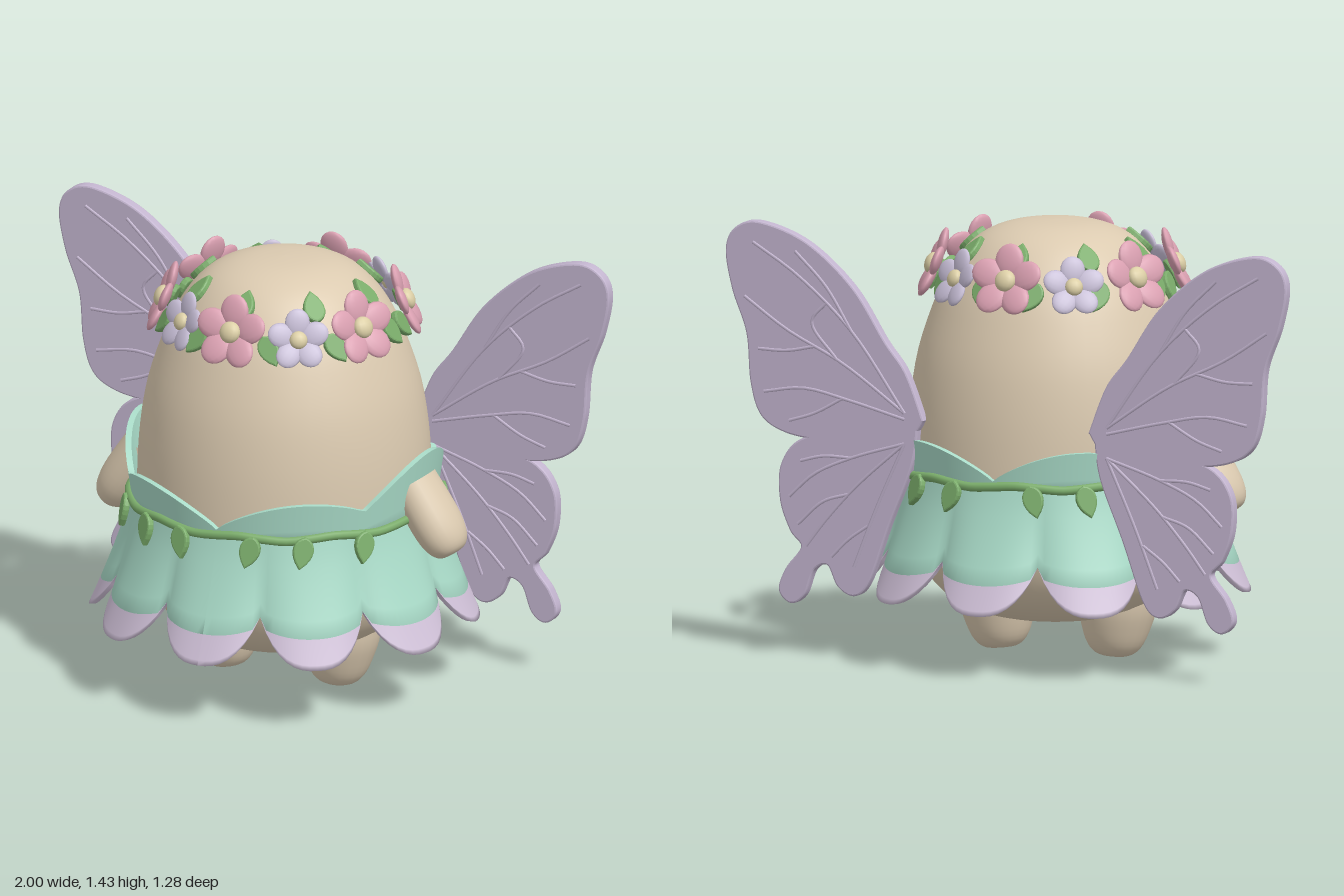
import * as THREE from 'three';

const mat = (name, color, side = THREE.FrontSide) => {
  const m = new THREE.MeshStandardMaterial({ color, side });
  m.name = name;
  return m;
};
const V2 = (p) => new THREE.Vector2(p[0], p[1]);

// Smooth lathe from a few profile points [radius, y], bottom to top
function lathe(points, samples, segments) {
  const pts = new THREE.SplineCurve(points.map(V2)).getPoints(samples);
  pts.forEach((p) => { p.x = Math.max(0, p.x); });
  return new THREE.LatheGeometry(pts, segments);
}

// Closed ring of cross-sections; fn(angle, row) returns [radius, y]
function ring(columns, rows, fn) {
  const pos = [], index = [];
  for (let i = 0; i <= columns; i++) {
    const a = (i / columns) * Math.PI * 2;
    for (let j = 0; j <= rows; j++) {
      const [r, y] = fn(a, j);
      pos.push(Math.sin(a) * r, y, Math.cos(a) * r);
      if (i < columns && j < rows) {
        const p = i * (rows + 1) + j, q = p + rows + 1;
        index.push(p, p + 1, q, q, p + 1, q + 1);
      }
    }
  }
  const g = new THREE.BufferGeometry();
  g.setAttribute('position', new THREE.Float32BufferAttribute(pos, 3));
  g.setIndex(index);
  g.computeVertexNormals();
  return g;
}

export function createModel() {
  const model = new THREE.Group();
  const skin = mat('beige body', 0xdbcab0);
  const mint = mat('mint cloth', 0xaadcc9, THREE.DoubleSide);
  const tip = mat('lavender petal tip', 0xd2c3da, THREE.DoubleSide);
  const wingMat = mat('lilac wing', 0xc3b5cf);
  const pink = mat('pink blossom', 0xdba1b2);
  const lilac = mat('pale lilac blossom', 0xc9c0d8);
  const green = mat('leaf green', 0x7bad6b);
  const cream = mat('cream flower centre', 0xdccfa6);

  const add = (name, geo, material, parent = model) => {
    const m = new THREE.Mesh(geo, material);
    m.name = name;
    parent.add(m);
    return m;
  };
  // Put an object on the ring around y, facing outwards and tilted up
  const place = (obj, deg, r, y, tilt = 0, roll = 0) => {
    const holder = new THREE.Group();
    holder.name = obj.name + 'Holder';
    holder.rotation.y = THREE.MathUtils.degToRad(deg);
    obj.position.set(0, y, r);
    obj.rotation.set(-tilt, 0, roll);
    holder.add(obj);
    model.add(holder);
  };

  // Egg-shaped body
  add('body', lathe([[0, 0.112], [0.14, 0.12], [0.27, 0.15], [0.37, 0.21], [0.43, 0.29],
    [0.465, 0.4], [0.48, 0.55], [0.48, 0.7], [0.47, 0.85], [0.445, 1.0], [0.4, 1.14],
    [0.36, 1.23], [0.31, 1.31], [0.25, 1.37], [0.18, 1.405], [0.1, 1.422], [0, 1.427]], 48, 48), skin);

  // Stubby legs and arms
  const legGeo = lathe([[0, 0], [0.055, 0.003], [0.09, 0.035], [0.115, 0.1], [0.132, 0.18], [0.13, 0.3]], 16, 24);
  const armGeo = lathe([[0, 0], [0.055, 0.008], [0.088, 0.05], [0.1, 0.13], [0.095, 0.27]], 16, 24);
  for (const s of [1, -1]) {
    const side = s > 0 ? 'left' : 'right';
    const leg = add(side + 'Leg', legGeo, skin);
    leg.position.set(s * 0.2, 0, 0.02);
    leg.rotation.z = -s * 0.08;
    const arm = add(side + 'Arm', armGeo, skin);
    arm.scale.x = 0.8;
    arm.position.set(s * 0.625, 0.5, 0.02);
    arm.rotation.z = s * 0.58;
  }

  // Skirt of ten petals, mint above and lavender at the tips
  const PETALS = 10, ROWS = 6;
  const local = (a) => {
    const t = (a / (Math.PI * 2)) * PETALS;
    return Math.abs(t - Math.round(t)) * 2;
  };
  const skirtRadius = (y, a) => {
    const t = (0.63 - y) / 0.42;
    return 0.495 + 0.145 * Math.pow(Math.max(t, 0), 1.25) - 0.045 * t * Math.pow(a, 3);
  };
  const hem = (a) => 0.21 + 0.155 * Math.pow(a, 2.6);
  const split = (a) => Math.max(hem(a), 0.305 + 0.03 * a * a);
  const skirtPart = (top, bottom) => ring(160, ROWS * 2 + 1, (angle, j) => {
    const a = local(angle);
    const inner = j > ROWS;
    const v = (inner ? ROWS * 2 + 1 - j : j) / ROWS;
    const y = top(a) + (bottom(a) - top(a)) * v;
    return [skirtRadius(y, a) - (inner ? 0.018 : 0), y];
  });
  add('skirt', skirtPart(() => 0.63, split), mint);
  add('skirtTips', skirtPart(split, hem), tip);

  // Wavy collar: notch at front and back, low lobe, dip, tall side lobe
  const collarTop = (angle) => {
    let d = Math.abs(THREE.MathUtils.radToDeg(Math.atan2(Math.sin(angle), Math.cos(angle))));
    if (d > 90) d = 180 - d;
    if (d < 57) return 0.635 + 0.055 * (d / 57) + 0.07 * Math.pow(Math.sin((d / 57) * Math.PI), 0.8);
    return 0.69 + 0.14 * Math.sin(((d - 57) / 33) * Math.PI / 2);
  };
  add('collar', ring(144, 7, (angle, j) => {
    const inner = j > 3;
    const v = (inner ? j - 4 : 3 - j) / 3;
    // outer face is walked downwards, then the inner face back up
    const y = inner ? 0.6 + (collarTop(angle) - 0.6) * v : 0.6 + (collarTop(angle) - 0.6) * v;
    return [0.497 + 0.14 * (y - 0.6) - (inner ? 0.02 : 0), y];
  }), mint);
  add('collarRim', ring(144, 1, (angle, j) => {
    const y = collarTop(angle);
    return [0.497 + 0.14 * (y - 0.6) - (j ? 0 : 0.02), y];
  }), mint);

  // Vine belt with hanging leaves
  const vine = [];
  for (let i = 0; i < 40; i++) {
    const a = (i / 40) * Math.PI * 2;
    vine.push(new THREE.Vector3(Math.sin(a) * 0.505, 0.618 + 0.006 * Math.sin(a * 10), Math.cos(a) * 0.505));
  }
  add('vineBelt', new THREE.TubeGeometry(new THREE.CatmullRomCurve3(vine, true), 120, 0.015, 8, true), green);

  const leafShape = new THREE.Shape();
  leafShape.moveTo(0, 0);
  leafShape.bezierCurveTo(0.035, 0.01, 0.045, 0.055, 0, 0.1);
  leafShape.bezierCurveTo(-0.045, 0.055, -0.035, 0.01, 0, 0);
  const leafGeo = new THREE.ExtrudeGeometry(leafShape,
    { depth: 0.012, bevelThickness: 0.006, bevelSize: 0.006, bevelSegments: 2, curveSegments: 8 });
  const leaf = (name, scale) => {
    const m = new THREE.Mesh(leafGeo, green);
    m.name = name;
    m.scale.setScalar(scale);
    return m;
  };
  for (const d of [15, 34, 57, 123, 146, 165]) {
    for (const s of [1, -1]) place(leaf('beltLeaf', 0.95), s * d, 0.512, 0.622, 0.2, Math.PI - s * 0.25);
  }

  // Flower crown
  const petalGeo = new THREE.SphereGeometry(1, 14, 10);
  const flower = (material, size) => {
    const g = new THREE.Group();
    g.name = 'crownFlower';
    for (let i = 0; i < 5; i++) {
      const arm = new THREE.Group();
      arm.name = 'petalHolder';
      arm.rotation.z = (i / 5) * Math.PI * 2;
      const p = add('flowerPetal', petalGeo, material, arm);
      p.scale.set(0.05, 0.056, 0.017);
      p.position.set(0, 0.07, 0.004);
      p.rotation.x = 0.15;
      g.add(arm);
    }
    const c = add('flowerCentre', petalGeo, cream, g);
    c.scale.set(0.036, 0.036, 0.024);
    c.position.z = 0.012;
    g.scale.setScalar(size);
    return g;
  };
  for (const d of [0, 66, 114, 180, 246, 294]) place(flower(pink, 1), d, 0.39, 1.278, 0.4);
  for (const d of [33, 147, 213, 327]) place(flower(lilac, 0.82), d, 0.383, 1.262, 0.42);
  for (let d = 0; d < 360; d += 45) place(leaf('upperCrownLeaf', 1), d, 0.325, 1.3, 0.8);
  for (const d of [16, 48, 84, 96, 132, 164]) {
    for (const s of [1, -1]) place(leaf('lowerCrownLeaf', 0.95), s * d, 0.375, 1.265, 0.42, Math.PI + s * 0.5);
  }

  // Butterfly wings: flat plates with raised veins on both faces
  const upper = [[0.3, 0.8], [0.36, 0.95], [0.435, 1.05], [0.55, 1.22], [0.71, 1.355], [0.875, 1.412],
    [0.96, 1.39], [0.993, 1.32], [0.97, 1.19], [0.92, 1.05], [0.905, 0.89], [0.87, 0.785],
    [0.79, 0.735], [0.66, 0.715], [0.5, 0.71], [0.36, 0.73]];
  const lower = [[0.32, 0.78], [0.55, 0.74], [0.72, 0.71], [0.795, 0.626], [0.8, 0.508], [0.765, 0.41],
    [0.725, 0.355], [0.78, 0.278], [0.804, 0.21], [0.767, 0.172], [0.722, 0.2], [0.687, 0.285],
    [0.634, 0.305], [0.595, 0.235], [0.54, 0.21], [0.49, 0.26], [0.42, 0.45], [0.34, 0.65]];
  const veins = [
    [[0.36, 0.82], [0.55, 1.08], [0.74, 1.25], [0.9, 1.35]],
    [[0.55, 1.08], [0.64, 1.22], [0.75, 1.33]],
    [[0.64, 1.165], [0.69, 1.1], [0.6, 0.98]],
    [[0.36, 0.82], [0.58, 0.97], [0.78, 1.07], [0.93, 1.17]],
    [[0.68, 1.02], [0.78, 1.0], [0.88, 1.0]],
    [[0.36, 0.8], [0.56, 0.85], [0.72, 0.88], [0.86, 0.86]],
    [[0.58, 0.855], [0.68, 0.8], [0.77, 0.77]],
    [[0.36, 0.72], [0.55, 0.66], [0.68, 0.6], [0.77, 0.52]],
    [[0.55, 0.66], [0.65, 0.66], [0.73, 0.64]],
    [[0.36, 0.72], [0.53, 0.57], [0.64, 0.45], [0.71, 0.36]],
    [[0.56, 0.54], [0.65, 0.51], [0.74, 0.43]],
    [[0.36, 0.72], [0.46, 0.5], [0.54, 0.3]],
    [[0.49, 0.44], [0.56, 0.39], [0.62, 0.33]]];
  for (const s of [1, -1]) {
    const wing = new THREE.Group();
    wing.name = s > 0 ? 'leftWing' : 'rightWing';
    wing.position.z = -0.378;
    model.add(wing);
    [['upperWing', upper], ['lowerWing', lower]].forEach(([name, outline]) => {
      const pts = outline.map(([x, y]) => V2([s * x, y]));
      const shape = new THREE.Shape();
      shape.moveTo(pts[0].x, pts[0].y);
      shape.splineThru([...pts.slice(1), pts[0].clone()]);
      const geo = new THREE.ExtrudeGeometry(shape,
        { depth: 0.026, bevelThickness: 0.007, bevelSize: 0.006, bevelSegments: 2, curveSegments: 60 });
      geo.translate(0, 0, -0.013);
      add(name, geo, wingMat, wing);
    });
    for (const face of [1, -1]) {
      for (const v of veins) {
        const path = new THREE.CatmullRomCurve3(v.map(([x, y]) => new THREE.Vector3(s * x, y, face * 0.019)));
        add('wingVein', new THREE.TubeGeometry(path, 14, 0.006, 6), wingMat, wing);
      }
    }
  }
  return model;
}
